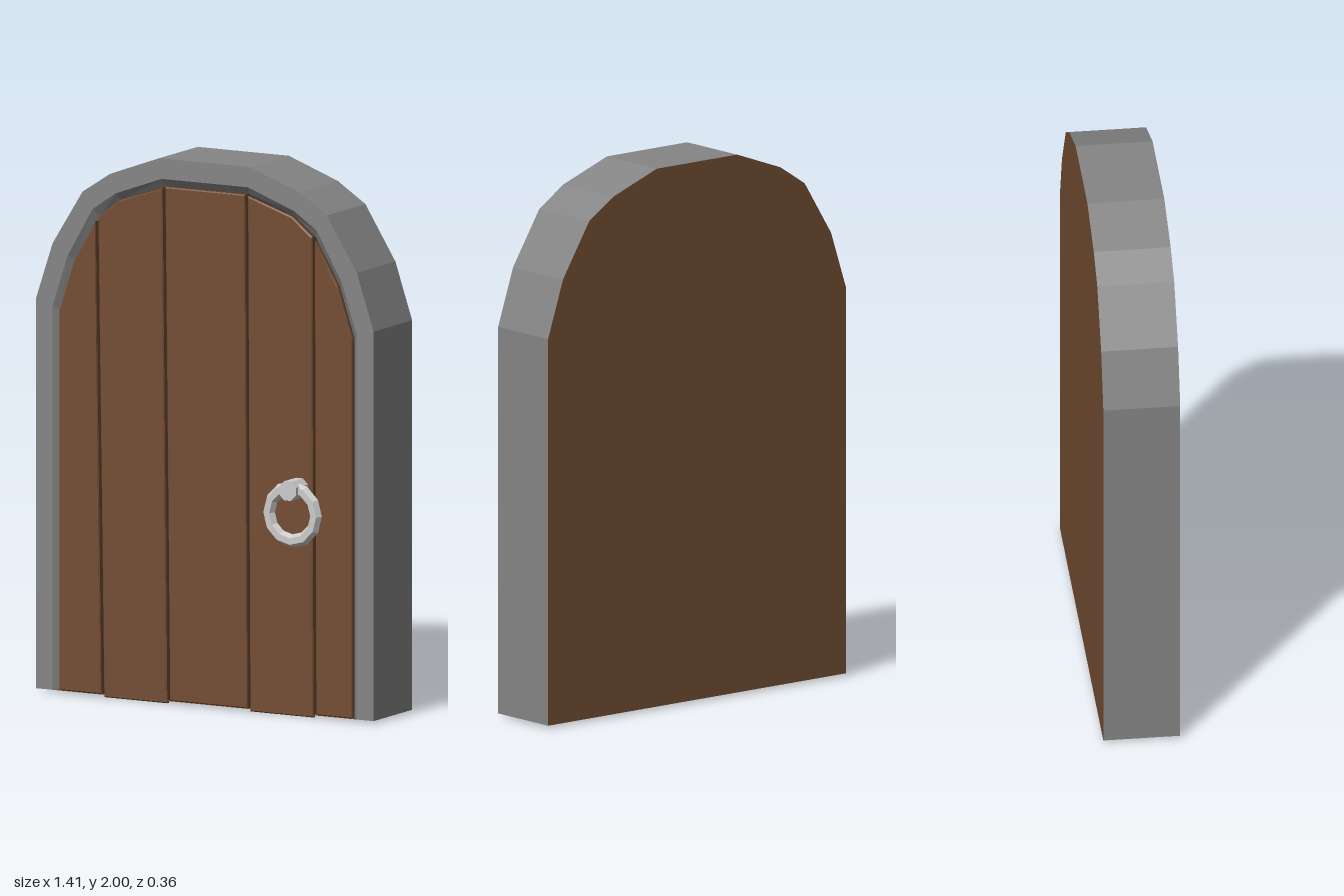
import * as THREE from 'three';

const STONE = new THREE.MeshStandardMaterial({ color: 0x858585, flatShading: true, side: THREE.DoubleSide });
const WOOD = new THREE.MeshStandardMaterial({ color: 0x734d32, flatShading: true, side: THREE.DoubleSide });
const GROOVE = new THREE.MeshStandardMaterial({ color: 0x3a2617, flatShading: true, side: THREE.DoubleSide });
const IRON = new THREE.MeshStandardMaterial({ color: 0xcccccc, flatShading: true });

const BASE = 0.01, BACK = -0.18, FRONT = 0.1, RECESS = 0.075;

// Right half of each arch outline, from the foot up; mirrored to a full arch
const arch = (half) => [...half, ...half.map(([x, y]) => [-x, y]).reverse()];
const OUTER = arch([[0.705, BASE], [0.705, 1.44], [0.635, 1.65], [0.51, 1.85], [0.395, 1.925], [0.19, 2]]);
const MIDDLE = arch([[0.635, BASE], [0.635, 1.42], [0.572, 1.61], [0.468, 1.79], [0.372, 1.855], [0.18, 1.925]]);
const INNER = arch([[0.612, BASE], [0.612, 1.4], [0.55, 1.59], [0.45, 1.76], [0.36, 1.83], [0.17, 1.895]]);

const toShape = (points) => new THREE.Shape(points.map(([x, y]) => new THREE.Vector2(x, y)));

function add(parent, name, geometry, material, x = 0, y = 0, z = 0) {
  const mesh = new THREE.Mesh(geometry, material);
  mesh.name = name;
  mesh.position.set(x, y, z);
  parent.add(mesh);
  return mesh;
}

// Joins matching outlines, given from back to front and then inward
function loft(sections) {
  const positions = [];
  for (let s = 0; s < sections.length - 1; s++) {
    const [p, pz] = sections[s], [q, qz] = sections[s + 1];
    for (let i = 0; i < p.length - 1; i++) {
      const a = [...p[i], pz], b = [...p[i + 1], pz];
      const c = [...q[i + 1], qz], d = [...q[i], qz];
      positions.push(...a, ...b, ...c, ...a, ...c, ...d);
    }
  }
  const geometry = new THREE.BufferGeometry();
  geometry.setAttribute('position', new THREE.Float32BufferAttribute(positions, 3));
  // Outward winding is the reverse of the arch direction
  const array = geometry.attributes.position.array;
  const p = [0, 1, 2].map((i) => new THREE.Vector3().fromArray(array, i * 3));
  const normal = p[1].clone().sub(p[0]).cross(p[2].clone().sub(p[0]));
  if (normal.x < 0) {
    for (let i = 0; i < array.length; i += 9) {
      for (let k = 0; k < 3; k++) [array[i + 3 + k], array[i + 6 + k]] = [array[i + 6 + k], array[i + 3 + k]];
    }
  }
  geometry.computeVertexNormals();
  return geometry;
}

export function createModel() {
  const door = new THREE.Group();
  door.name = 'archedDoor';

  // Stone surround: outer wall, flat face and chamfer in to the planks
  add(door, 'frame', loft([[OUTER, BACK], [OUTER, FRONT], [MIDDLE, FRONT], [INNER, RECESS]]), STONE);

  // Wooden back, underside and dark backing behind the plank gaps
  const back = add(door, 'backPanel', new THREE.ShapeGeometry(toShape(OUTER)), WOOD, 0, 0, BACK);
  back.rotation.y = Math.PI;
  const under = add(door, 'underside', new THREE.PlaneGeometry(1.41, FRONT - BACK), WOOD, 0, BASE, (FRONT + BACK) / 2);
  under.rotation.x = Math.PI / 2;
  add(door, 'grooveBacking', new THREE.ShapeGeometry(toShape(INNER)), GROOVE, 0, 0, RECESS);

  // Five slightly crooked planks with small chamfers
  const planks = new THREE.Group();
  planks.name = 'planks';
  door.add(planks);
  const bevel = 0.004;
  [
    [[-0.612, 0.01], [-0.436, 0.01], [-0.46, 1.745], [-0.55, 1.59], [-0.612, 1.4]],
    [[-0.424, 0], [-0.161, 0], [-0.181, 1.89], [-0.36, 1.83], [-0.449, 1.762]],
    [[-0.149, 0.01], [0.174, 0.01], [0.164, 1.895], [-0.169, 1.895]],
    [[0.186, 0], [0.449, 0], [0.444, 1.763], [0.36, 1.83], [0.176, 1.89]],
    [[0.461, 0.01], [0.612, 0.01], [0.612, 1.4], [0.55, 1.59], [0.456, 1.75]],
  ].forEach((outline, i) => {
    const geometry = new THREE.ExtrudeGeometry(toShape(outline), {
      depth: 0.012, bevelEnabled: true, bevelThickness: bevel, bevelSize: bevel, bevelOffset: -bevel, bevelSegments: 1,
    });
    add(planks, 'plank' + (i + 1), geometry, WOOD, 0, 0, RECESS + bevel);
  });

  // Ring pull hanging on a stubby pin
  const handle = new THREE.Group();
  handle.name = 'handle';
  handle.position.set(0.393, 0.75, 0);
  door.add(handle);
  add(handle, 'ring', new THREE.TorusGeometry(0.098, 0.024, 6, 12), IRON, 0, 0, 0.145);
  const pin = new THREE.CylinderGeometry(0.038, 0.038, 0.095, 8);
  pin.rotateY(Math.PI / 8).rotateX(Math.PI / 2);
  add(handle, 'pin', pin, IRON, 0, 0.09, 0.135);

  return door;
}
